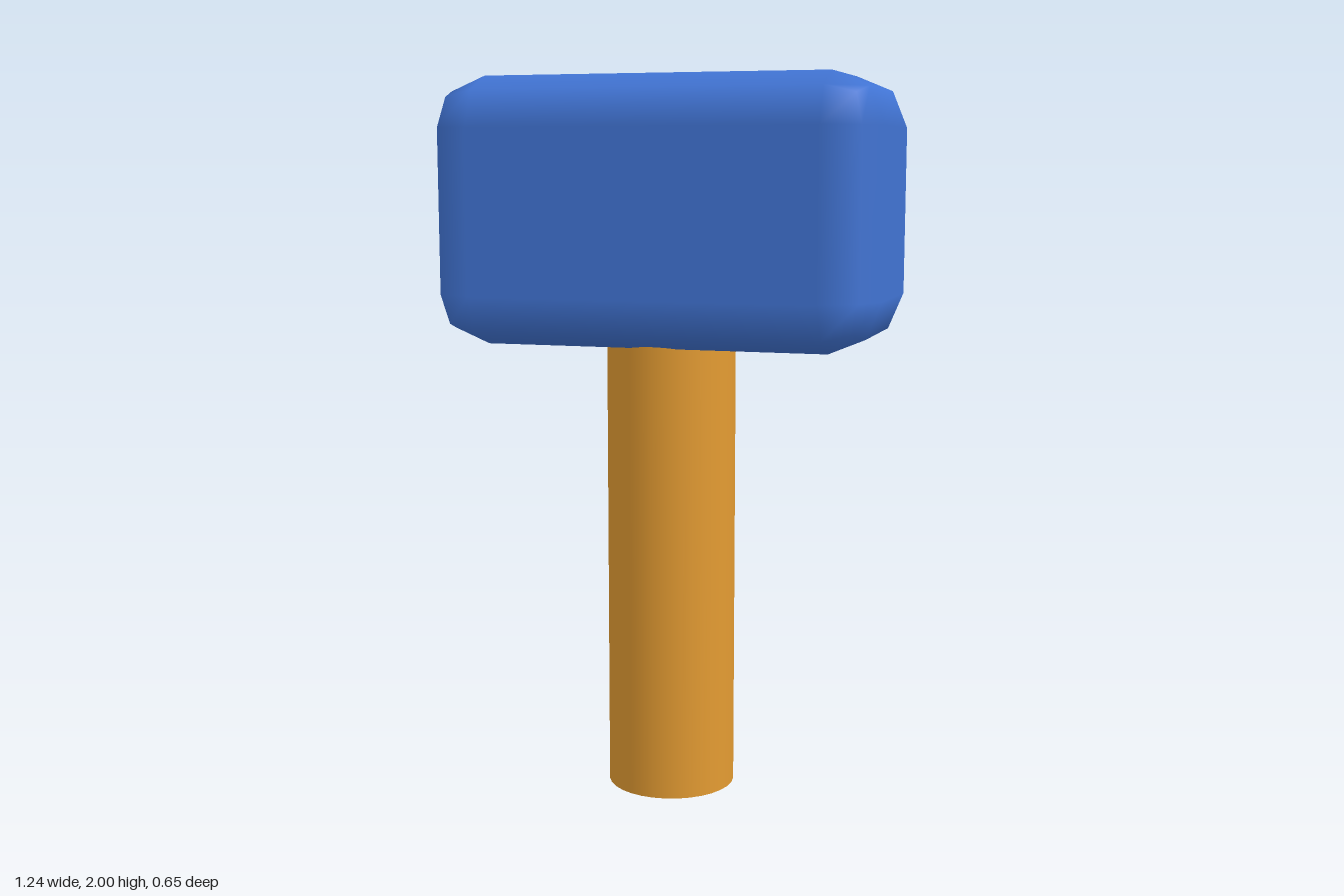
import * as THREE from 'three';
import { RoundedBoxGeometry } from 'three/addons/geometries/RoundedBoxGeometry.js';

function material(name, color) {
  const m = new THREE.MeshStandardMaterial({ color });
  m.name = name;
  return m;
}

// Gear outline: straight-sided teeth on a round hub with a centre hole
function gearShape(teeth, outer, root, halfWidth, hole) {
  const points = [];
  const inner = Math.sqrt(root * root - halfWidth * halfWidth);
  const profile = [[inner, -halfWidth], [outer, -halfWidth], [outer, halfWidth], [inner, halfWidth]];
  for (let i = 0; i < teeth; i++) {
    const angle = (i / teeth) * Math.PI * 2;
    for (const [x, y] of profile) {
      points.push(new THREE.Vector2(x, y).rotateAround(new THREE.Vector2(), angle));
    }
  }
  const shape = new THREE.Shape(points);
  shape.holes.push(new THREE.Path().absarc(0, 0, hole, 0, Math.PI * 2, true));
  return shape;
}

export function createModel() {
  const model = new THREE.Group();
  model.name = 'mallet';
  const blue = material('blue', 0x4174d4);
  const wood = material('orange wood', 0xe39b32);
  const brass = material('brass', 0xd4c450);

  function add(name, geometry, mat, x, y, z) {
    const mesh = new THREE.Mesh(geometry, mat);
    mesh.name = name;
    mesh.position.set(x, y, z);
    model.add(mesh);
  }

  // Chunky head with two-step rounded edges
  add('head', new RoundedBoxGeometry(1.24, 0.73, 0.62, 1, 0.14), blue, 0, 1.635, 0.012);

  // Round handle, its top sunk into the head
  add('handle', new THREE.CylinderGeometry(0.18, 0.18, 1.32, 32), wood, 0, 0.66, 0.015);

  // Gear emblem on the back of the head
  const gear = new THREE.ExtrudeGeometry(gearShape(8, 0.326, 0.216, 0.065, 0.085), {
    depth: 0.053, bevelEnabled: false, curveSegments: 24,
  });
  add('gearEmblem', gear, brass, 0, 1.637, -0.324);

  return model;
}
